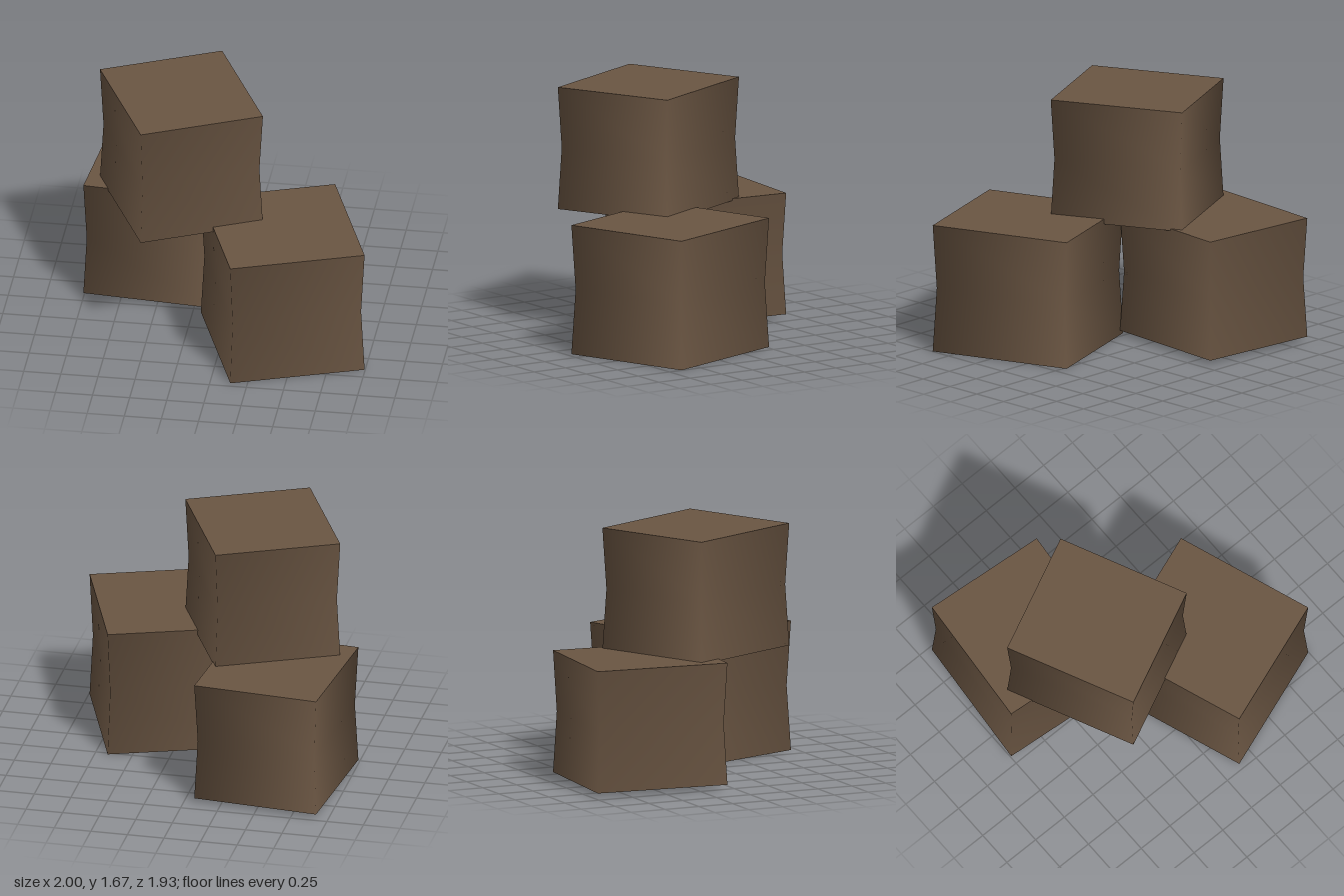
import * as THREE from 'three';

const brown = new THREE.MeshStandardMaterial({ color: 0x6b5643, side: THREE.DoubleSide });
brown.name = 'brown';

// One crate: four smooth-shaded walls pinched at mid height, a flat lid, open underneath
function crate(name, width, height, depth) {
  const group = new THREE.Group();
  group.name = name;

  const r = Math.SQRT1_2;
  const profile = [[r, 0], [r * 0.957, 0.5], [r, 1]].map(([x, y]) => new THREE.Vector2(x, y));
  const wallGeometry = new THREE.LatheGeometry(profile, 4, Math.PI / 4);
  wallGeometry.scale(width, height, depth);
  const walls = new THREE.Mesh(wallGeometry, brown);
  walls.name = 'walls';

  const lidGeometry = new THREE.PlaneGeometry(width, depth);
  lidGeometry.rotateX(-Math.PI / 2);
  const lid = new THREE.Mesh(lidGeometry, brown);
  lid.name = 'lid';
  lid.position.y = height;

  group.add(walls, lid);
  return group;
}

export function createModel() {
  const model = new THREE.Group();
  model.name = 'crateStack';

  // name, [width, height, depth], [x, y, z], turn about y
  const crates = [
    ['frontCrate', [0.914, 0.877, 0.98], [0.4, 0, 0.345], 0.346],
    ['backCrate', [0.853, 0.825, 0.923], [-0.535, 0.03, -0.4725], -0.088],
    ['topCrate', [0.852, 0.828, 0.926], [-0.327, 0.842, 0.037], 0.442],
  ];
  for (const [name, size, position, turn] of crates) {
    const c = crate(name, ...size);
    c.position.set(...position);
    c.rotation.y = turn;
    model.add(c);
  }
  return model;
}
